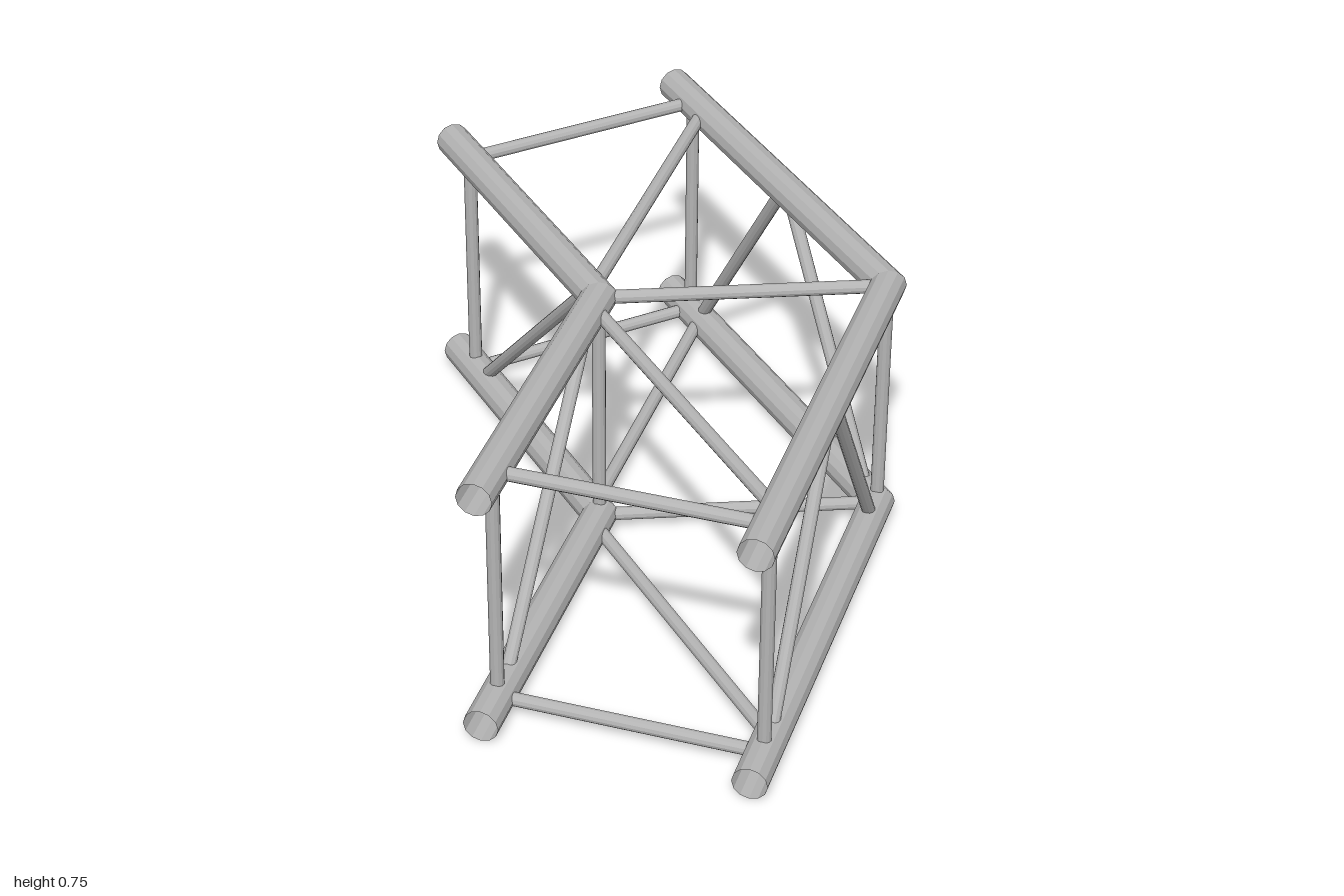
import * as THREE from 'three';

const LOW = 0.05, HIGH = 0.713;       // chord centre heights
const CHORD_R = 0.044, BRACE_R = 0.0175;
const INNER = { x: -0.031, z: 0.112, length: 0.615 };
const OUTER = { x: 0.632, z: -0.162, length: 0.809 };

export function createModel() {
  const group = new THREE.Group();
  const metal = new THREE.MeshStandardMaterial({ color: 0xb4b4b4, flatShading: true, side: THREE.DoubleSide });

  const add = (name, geometry) => {
    const mesh = new THREE.Mesh(geometry, metal);
    mesh.name = name;
    group.add(mesh);
    return mesh;
  };

  // Point on the angled rear leg of a chord, t units left and back of its bend
  const rear = (c, t, y) => new THREE.Vector3(c.x - t, y, c.z - t);
  // Point on the straight front leg of a chord
  const front = (c, z, y) => new THREE.Vector3(c.x, y, z);

  // Hollow chord with a mitred 45 degree bend
  function chord(name, c, y) {
    const points = [front(c, 1, y), rear(c, 0, y), rear(c, c.length, y)];
    const h = Math.SQRT1_2;
    const sides = [[1, 0], [1, -Math.tan(Math.PI / 8)], [h, -h]];
    const geo = new THREE.CylinderGeometry(CHORD_R, CHORD_R, 2, 12, 2, true);
    const pos = geo.attributes.position;
    for (let i = 0; i < pos.count; i++) {
      const ring = Math.round(pos.getY(i) + 1);
      const across = pos.getX(i), up = pos.getZ(i);
      const p = points[ring], s = sides[ring];
      pos.setXYZ(i, p.x + s[0] * across, p.y + up, p.z + s[1] * across);
    }
    geo.computeVertexNormals();
    add(name, geo);
  }

  // Thin round bar between two points
  function brace(name, a, b) {
    const dir = b.clone().sub(a);
    const geo = new THREE.CylinderGeometry(BRACE_R, BRACE_R, dir.length(), 12);
    const mesh = add(name, geo);
    mesh.position.copy(a).add(b).multiplyScalar(0.5);
    mesh.quaternion.setFromUnitVectors(new THREE.Vector3(0, 1, 0), dir.normalize());
  }

  // Chords and horizontal bracing, lower and upper
  for (const [level, y] of [['lower', LOW], ['upper', HIGH]]) {
    chord(level + 'InnerChord', INNER, y);
    chord(level + 'OuterChord', OUTER, y);
    brace(level + 'FrontCrossbar', front(INNER, 0.88, y), front(OUTER, 0.88, y));
    brace(level + 'FrontDiagonal', front(INNER, 0.155, y), front(OUTER, 0.825, y));
    brace(level + 'BendCrossbar', rear(INNER, 0, y), rear(OUTER, 0, y));
    brace(level + 'RearDiagonal', rear(INNER, 0.026, y), rear(OUTER, 0.689, y));
    brace(level + 'RearCrossbar', rear(INNER, 0.536, y), rear(OUTER, 0.73, y));
  }

  // Upright posts
  for (const [side, c, t] of [['inner', INNER, 0.536], ['outer', OUTER, 0.73]]) {
    brace(side + 'FrontPost', front(c, 0.88, LOW), front(c, 0.88, HIGH));
    brace(side + 'BendPost', rear(c, 0, LOW), rear(c, 0, HIGH));
    brace(side + 'RearPost', rear(c, t, LOW), rear(c, t, HIGH));
  }

  // Diagonals in the side panels
  brace('innerFrontSideDiagonal', front(INNER, 0.83, LOW), front(INNER, 0.18, HIGH));
  brace('innerRearSideDiagonal', rear(INNER, 0.499, LOW), rear(INNER, 0.032, HIGH));
  for (const z of [0.83, -0.1])
    brace('outerFrontSideDiagonal', front(OUTER, z, LOW), front(OUTER, 0.36, HIGH));
  for (const [t, apex] of [[0.034, 0.358], [0.69, 0.372]])
    brace('outerRearSideDiagonal', rear(OUTER, t, LOW), rear(OUTER, apex, HIGH));

  return group;
}
